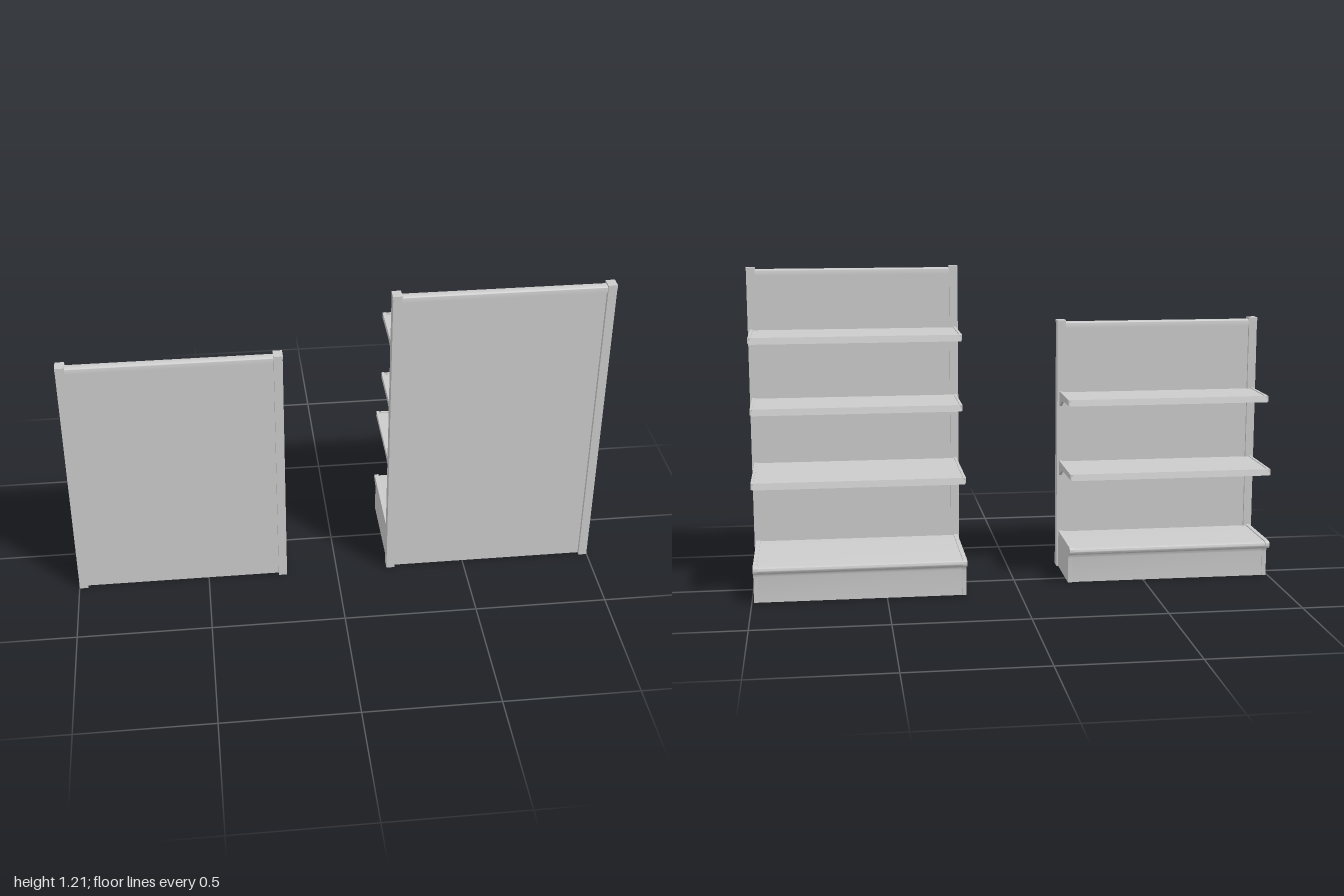
import * as THREE from 'three';
import { toCreasedNormals } from 'three/addons/utils/BufferGeometryUtils.js';

const mat = new THREE.MeshStandardMaterial({ color: 0xcccccc });
const BACK = 0.175; // rear face of the uprights, where shelves attach
const FRONT = 0.218;

function add(group, geo, name) {
  const m = new THREE.Mesh(geo, mat);
  m.name = name;
  group.add(m);
  return m;
}

function box(group, name, x0, x1, y0, y1, z0, z1) {
  const m = add(group, new THREE.BoxGeometry(x1 - x0, y1 - y0, z1 - z0), name);
  m.position.set((x0 + x1) / 2, (y0 + y1) / 2, (z0 + z1) / 2);
  return m;
}

// Extrudes a side profile, drawn as (depth behind uprights, height), along x
function profile(group, name, shape, x0, x1, y, z = BACK) {
  const geo = new THREE.ExtrudeGeometry(shape, { depth: x1 - x0, bevelEnabled: false, curveSegments: 8 });
  geo.rotateY(Math.PI / 2); // shape x -> -z, extrusion -> +x
  const m = add(group, toCreasedNormals(geo, 0.6), name);
  m.position.set(x0, y, z);
  return m;
}

// Curved cantilever bracket, its top at height 0
function bracketShape(d) {
  const s = new THREE.Shape();
  s.moveTo(0, 0);
  s.lineTo(0, -0.058);
  s.bezierCurveTo(0.05, -0.03, 0.07, -0.023, 0.17, -0.022);
  s.lineTo(d - 0.004, -0.022);
  s.lineTo(d - 0.004, 0);
  s.closePath();
  return s;
}

// Slanted price channel along the outer edge of a shelf
function channelShape(d) {
  const s = new THREE.Shape();
  s.moveTo(d - 0.016, 0);
  s.lineTo(d - 0.016, -0.008);
  s.lineTo(d - 0.006, -0.024);
  s.lineTo(d, -0.024);
  s.lineTo(d - 0.006, 0);
  s.closePath();
  return s;
}

// Plinth with rounded overhanging nose
function baseShape(d, inset) {
  const h = 0.147 - inset, nose = d - inset, body = d - 0.04 - inset;
  const s = new THREE.Shape();
  s.moveTo(0, 0);
  s.lineTo(body, 0);
  s.lineTo(body, 0.098);
  s.quadraticCurveTo(body + 0.002, 0.118, body + 0.02, 0.119);
  s.lineTo(nose - 0.012, 0.119);
  s.quadraticCurveTo(nose, 0.119, nose, 0.131);
  s.quadraticCurveTo(nose, h, nose - 0.014, h);
  s.lineTo(0, h);
  s.closePath();
  return s;
}

function railShape() {
  const s = new THREE.Shape();
  s.moveTo(0, 0);
  s.lineTo(0, 0.014);
  s.quadraticCurveTo(0, 0.024, 0.009, 0.024);
  s.lineTo(0.025, 0.024);
  s.quadraticCurveTo(0.034, 0.024, 0.034, 0.014);
  s.lineTo(0.034, 0);
  s.closePath();
  return s;
}

function makeShelf(x0, x1, top, d) {
  const g = new THREE.Group();
  g.name = 'shelf';
  box(g, 'shelfBoard', x0, x1, top - 0.012, top - 0.003, BACK - d + 0.008, BACK);
  profile(g, 'priceChannel', channelShape(d), x0, x1, top);
  // lengthwise stiffening ribs under the board
  for (let i = 0; i < 4; i++) {
    const z = BACK - d * (0.15 + i * 0.22);
    box(g, 'shelfRib', x0, x1, top - 0.02, top - 0.011, z - 0.012, z + 0.012);
  }
  profile(g, 'shelfBracket', bracketShape(d), x0 - 0.004, x0 + 0.006, top);
  profile(g, 'shelfBracket', bracketShape(d), x1 - 0.006, x1 + 0.004, top);
  return g;
}

function makeUnit({ name, x0, x1, height, baseDepth, shelves }) {
  const g = new THREE.Group();
  g.name = name;
  const w = 0.034;

  // uprights with small caps
  for (const x of [x0, x1 - w]) {
    box(g, 'upright', x + 0.001, x + w - 0.001, 0, height - 0.012, BACK, FRONT);
    box(g, 'uprightCap', x, x + w, height - 0.012, height, BACK - 0.001, FRONT + 0.001);
  }

  // wall panel and top rail between the uprights
  box(g, 'wallPanel', x0 + w - 0.004, x1 - w + 0.004, 0, height - 0.026, 0.185, 0.203);
  profile(g, 'topRail', railShape(), x0 + w - 0.002, x1 - w + 0.002, height - 0.031, 0.212);

  // base plinth with end caps
  const base = new THREE.Group();
  base.name = 'base';
  profile(base, 'basePlinth', baseShape(baseDepth, 0.004), x0 + 0.02, x1 - 0.02, 0);
  profile(base, 'baseEndCap', baseShape(baseDepth, 0), x0 + 0.008, x0 + 0.024, 0);
  profile(base, 'baseEndCap', baseShape(baseDepth, 0), x1 - 0.024, x1 - 0.008, 0);
  g.add(base);

  for (const [top, d] of shelves) g.add(makeShelf(x0 + 0.014, x1 - 0.014, top, d));
  return g;
}

export function createModel() {
  const model = new THREE.Group();
  model.name = 'shelvingUnits';
  model.add(makeUnit({
    name: 'tallUnit', x0: 0.195, x1: 1, height: 1.21, baseDepth: 0.393,
    shelves: [[0.975, 0.272], [0.711, 0.272], [0.458, 0.387]],
  }));
  model.add(makeUnit({
    name: 'shortUnit', x0: -1, x1: -0.195, height: 0.993, baseDepth: 0.278,
    shelves: [[0.711, 0.216], [0.433, 0.272]],
  }));
  return model;
}
